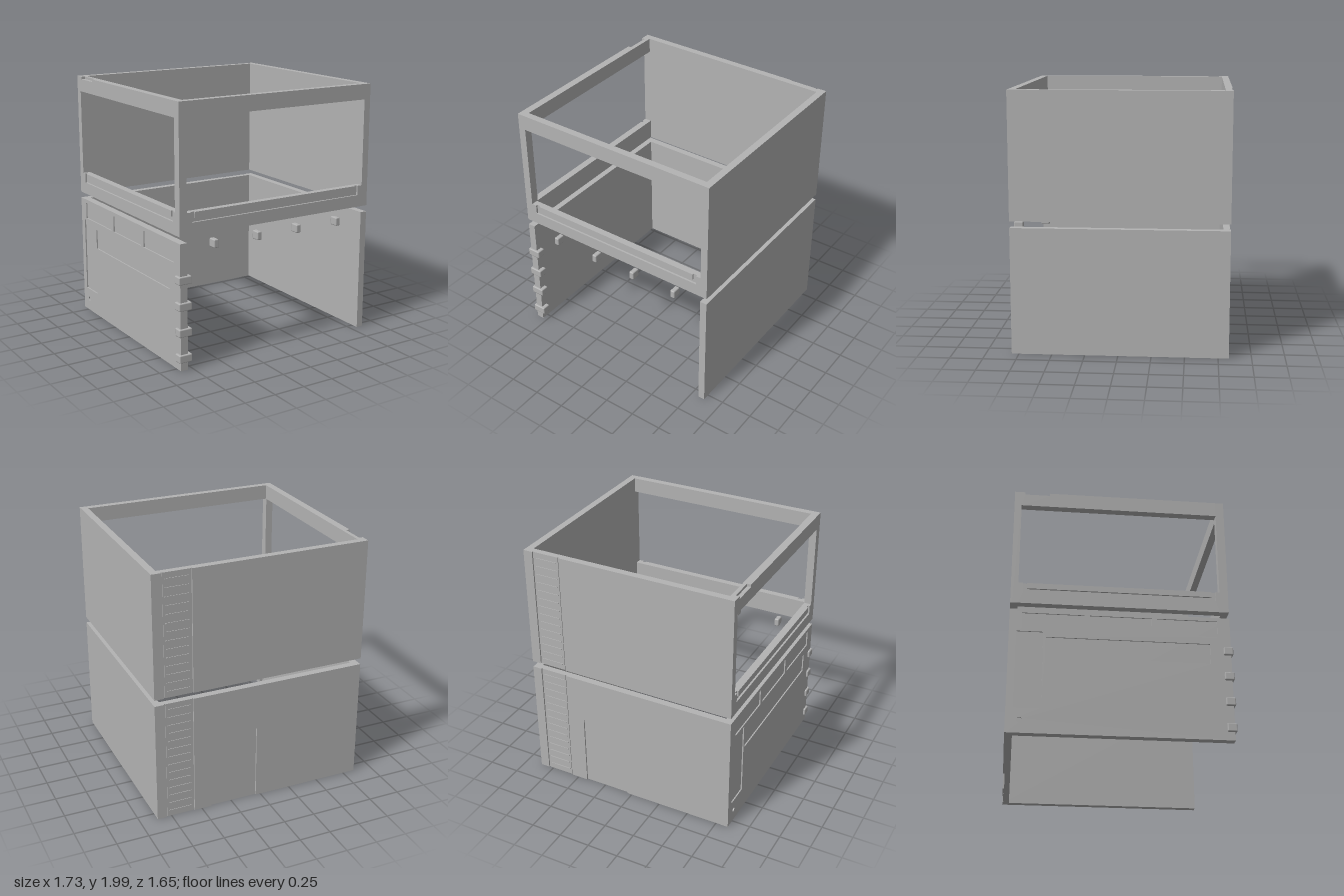
import * as THREE from 'three';
import { RoundedBoxGeometry } from 'three/addons/geometries/RoundedBoxGeometry.js';

export function createModel() {
  const model = new THREE.Group();
  const grey = new THREE.MeshStandardMaterial({ color: 0xb3b3b3 });
  grey.name = 'panelGrey';

  function add(name, geometry, parent = model) {
    const mesh = new THREE.Mesh(geometry, grey);
    mesh.name = name;
    parent.add(mesh);
    return mesh;
  }

  // Box given by its two extreme corners
  function block(name, x0, x1, y0, y1, z0, z1) {
    const g = new THREE.BoxGeometry(x1 - x0, y1 - y0, z1 - z0);
    g.translate((x0 + x1) / 2, (y0 + y1) / 2, (z0 + z1) / 2);
    return add(name, g);
  }

  const corners = (list) => list.map(([u, v]) => new THREE.Vector2(u, v));
  const rect = (u0, u1, v0, v1) => [[u0, v0], [u1, v0], [u1, v1], [u0, v1]];

  // Flat sheet with cut-outs, facing front or back (axis z) or left-hand side (axis x)
  function sheet(name, outline, holes, axis, start, depth) {
    const shape = new THREE.Shape(corners(outline));
    holes.forEach((h) => shape.holes.push(new THREE.Path(corners(h))));
    const g = new THREE.ExtrudeGeometry(shape, { depth, bevelEnabled: false });
    if (axis === 'x') {
      g.rotateY(-Math.PI / 2);
      g.translate(start, 0, 0);
    } else g.translate(0, 0, start);
    return add(name, g);
  }

  // Rail outline with a notch cut into its upper edge
  const notched = (u0, u1, v0, v1, n0, n1, nv) =>
    [[u0, v0], [u1, v0], [u1, v1], [n1, v1], [n1, nv], [n0, nv], [n0, v1], [u0, v1]];

  // Solid right wall and back wall of both storeys
  for (const [storey, y0, y1] of [['lower', 0.01, 0.98], ['upper', 1.03, 2]]) {
    block(storey + 'RightWall', 0.81, 0.865, y0, y1, -0.83, 0.805);
    block(storey + 'BackWall', -0.85, 0.81, y0, y1, -0.818, -0.775);

    // Outer skin, the lower one with a shallow doorway
    const skin = storey === 'lower'
      ? [[-0.85, y0], [0.04, y0], [0.04, 0.61], [0.42, 0.61], [0.42, y0], [0.56, y0], [0.56, y1], [-0.85, y1]]
      : rect(-0.85, 0.56, y0, y1);
    sheet(storey + 'BackSkin', skin, [], 'z', -0.83, 0.012);
    block(storey + 'BackEdgeStrip', 0.79, 0.81, y0, y1, -0.83, -0.818);

    // Louvred strip set between two grooves
    block(storey + 'VentStrip', 0.57, 0.78, y0, y1, -0.824, -0.818);
    for (let i = 0; i < 14; i++) {
      const y = y0 + 0.05 + i * 0.067;
      block(storey + 'VentSlat', 0.585, 0.765, y - 0.004, y + 0.004, -0.829, -0.824);
    }
  }

  // Lower left wall with shallow outer recesses
  block('lowerLeftWall', -0.84, -0.79, 0.01, 0.98, -0.775, 0.805);
  block('lowerLeftBackCorner', -0.84, -0.79, 0.01, 0.98, -0.818, -0.775);
  const dot = [];
  for (let i = 0; i < 12; i++) {
    const a = (i / 12) * Math.PI * 2;
    dot.push([-0.73 + 0.018 * Math.cos(a), 0.11 + 0.018 * Math.sin(a)]);
  }
  sheet('lowerLeftSkin', rect(-0.818, 0.805, 0.01, 0.98), [
    rect(-0.74, -0.28, 0.82, 0.95),
    rect(-0.24, 0.22, 0.82, 0.95),
    rect(0.26, 0.71, 0.82, 0.95),
    rect(-0.56, 0.65, 0.6, 0.76),
    rect(-0.8, -0.58, 0.2, 0.8),
    dot,
  ], 'x', -0.84, 0.01);

  // Upper front: top rail and sill with a U-shaped track
  block('frontTopRail', -0.79, 0.81, 1.88, 2, 0.75, 0.805);
  block('frontSill', -0.79, 0.81, 1.03, 1.2, 0.75, 0.79);
  sheet('frontSillSkin', notched(-0.79, 0.81, 1.03, 1.2, -0.75, 0.77, 1.125), [], 'z', 0.79, 0.015);
  block('frontSillTongue', -0.72, 0.74, 1.155, 1.2, 0.79, 0.803);

  // Upper left: front post, top rail with a notch, and matching sill
  block('leftFrontPost', -0.85, -0.79, 1.03, 2, 0.74, 0.805);
  block('leftTopRail', -0.82, -0.79, 1.88, 2, -0.775, 0.74);
  sheet('leftTopRailSkin', notched(-0.775, 0.74, 1.88, 2, -0.75, -0.56, 1.98), [], 'x', -0.82, 0.03);
  block('leftSill', -0.835, -0.79, 1.03, 1.2, -0.775, 0.74);
  sheet('leftSillSkin', notched(-0.775, 0.74, 1.03, 1.2, -0.74, 0.71, 1.125), [], 'x', -0.835, 0.015);
  block('leftSillTongue', -0.848, -0.835, 1.155, 1.2, -0.71, 0.68);

  // Small chamfered clips for the missing lower front panel
  function clip(name, w, h, x, y) {
    const g = new RoundedBoxGeometry(w, h, 0.072, 1, 0.009);
    g.translate(x, y, 0.784);
    add(name, g);
  }
  for (const x of [-0.55, -0.17, 0.19, 0.57]) clip('topClip', 0.04, 0.066, x, 0.94);
  for (const y of [0.105, 0.305, 0.505, 0.705]) clip('sideClip', 0.108, 0.062, -0.813, y);

  return model;
}
